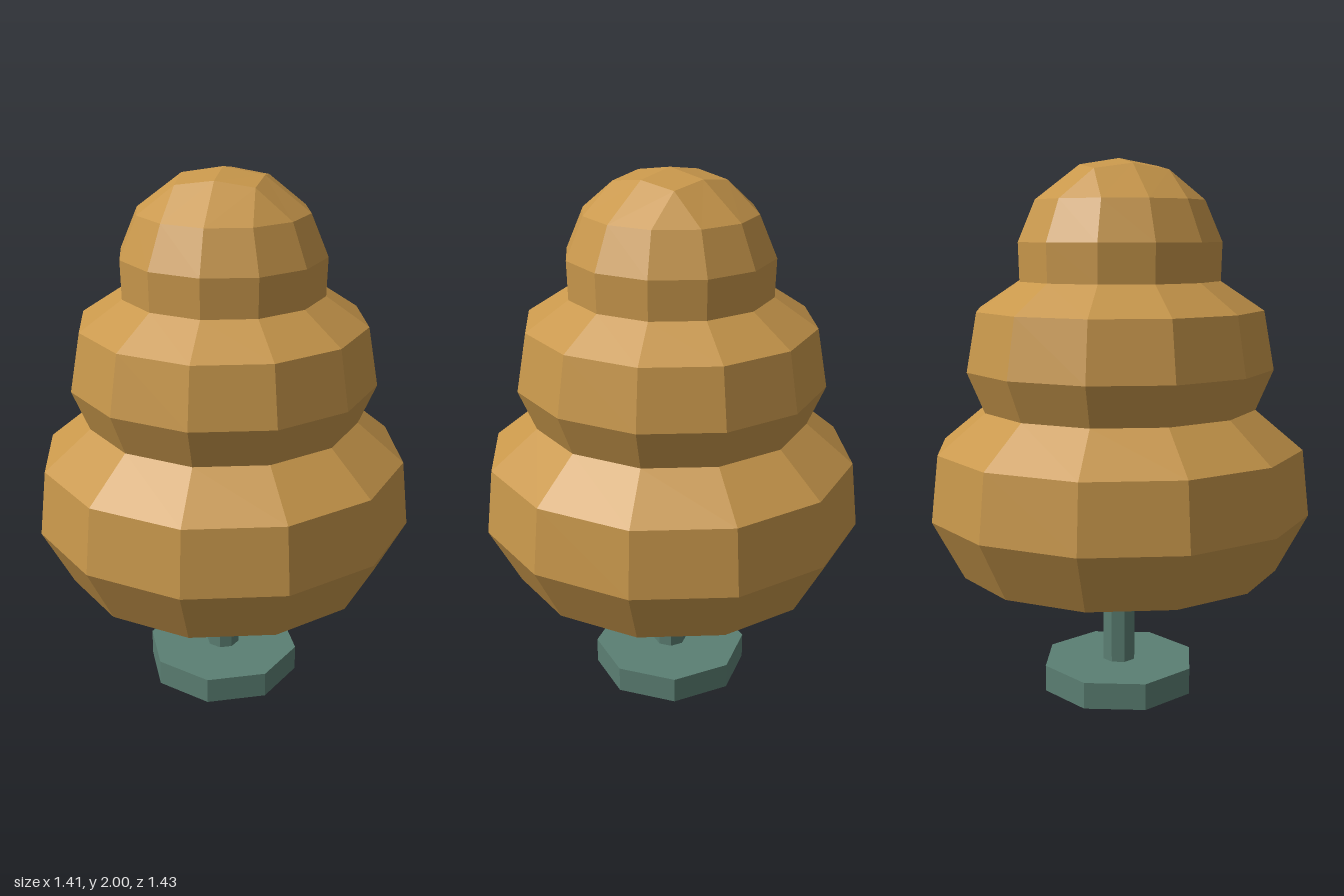
import * as THREE from 'three';

// Slightly oval canopy: a little narrower in x than in z
const WIDTH = 0.983;

// Quad-patched cap closing the 12-sided canopy: four mirrored quadrants around the apex
function capGeometry(rimR, rimY) {
  const pos = [];
  const p = (deg, r, y) => {
    const a = THREE.MathUtils.degToRad(deg);
    return [r * Math.sin(a), y, r * Math.cos(a)];
  };
  const tri = (a, b, c) => pos.push(...a, ...b, ...c);
  const quad = (a, b, c, d) => { tri(a, b, c); tri(a, c, d); };
  const apex = [0, 2, 0];
  for (let q = 0; q < 360; q += 90) {
    const rim = [0, 30, 60, 90].map((d) => p(q + d, rimR, rimY));
    const mid0 = p(q, 0.15, 1.975), mid1 = p(q + 90, 0.15, 1.975);
    const corner = p(q + 45, 0.2, 1.955);
    quad(rim[0], rim[1], corner, mid0);
    tri(rim[1], rim[2], corner);
    quad(rim[2], rim[3], mid1, corner);
    quad(mid0, corner, mid1, apex);
  }
  const g = new THREE.BufferGeometry();
  g.setAttribute('position', new THREE.Float32BufferAttribute(pos, 3));
  g.computeVertexNormals();
  return g;
}

export function createModel() {
  const model = new THREE.Group();
  model.name = 'tieredTree';

  const foliage = new THREE.MeshStandardMaterial({ color: 0xc8974b, flatShading: true, side: THREE.DoubleSide });
  foliage.name = 'ochreFoliage';
  const stand = new THREE.MeshStandardMaterial({ color: 0x5b7f73, flatShading: true });
  stand.name = 'greyGreenStand';

  const add = (name, geometry, material, parent = model) => {
    const mesh = new THREE.Mesh(geometry, material);
    mesh.name = name;
    parent.add(mesh);
    return mesh;
  };

  // Octagonal foot and thin post
  add('foot', new THREE.CylinderGeometry(0.297, 0.297, 0.1, 8), stand).position.y = 0.05;
  add('post', new THREE.CylinderGeometry(0.064, 0.064, 0.9, 8), stand).position.y = 0.53;

  // Hollow canopy, open underneath: stacked tiers of [radius, height]
  const canopy = new THREE.Group();
  canopy.name = 'canopy';
  canopy.scale.x = WIDTH;
  model.add(canopy);
  const tiers = {
    lowerTier: [[0.6, 0.48], [0.717, 0.7], [0.69, 0.945], [0.513, 1.09]],
    middleTier: [[0.513, 1.09], [0.577, 1.24], [0.538, 1.455], [0.378, 1.56]],
    upperTier: [[0.378, 1.56], [0.382, 1.7], [0.317, 1.85]],
  };
  for (const [name, profile] of Object.entries(tiers)) {
    const points = profile.map(([r, y]) => new THREE.Vector2(r, y));
    add(name, new THREE.LatheGeometry(points, 12), foliage, canopy);
  }
  add('crownCap', capGeometry(0.317, 1.85), foliage, canopy);

  return model;
}
